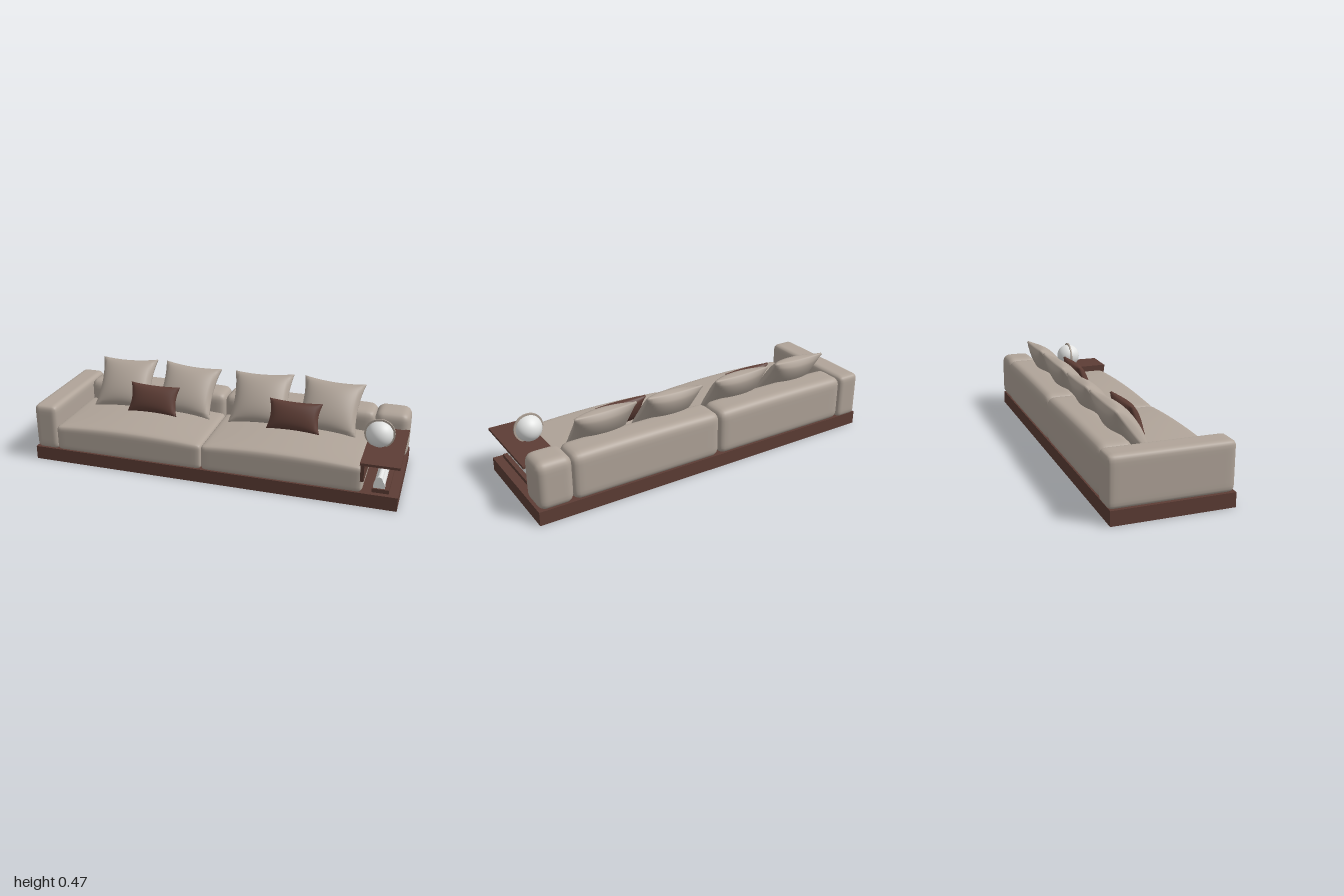
import * as THREE from 'three';
import { mergeVertices } from 'three/addons/utils/BufferGeometryUtils.js';

const mat = (name, color) => {
  const m = new THREE.MeshStandardMaterial({ color });
  m.name = name;
  return m;
};

// Box whose vertices are moved by a rule, then welded for smooth normals
function shapedBox(nx, ny, nz, rule) {
  let g = new THREE.BoxGeometry(2, 2, 2, nx, ny, nz);
  g.deleteAttribute('uv');
  g.deleteAttribute('normal');
  g = mergeVertices(g, 1e-4);
  const p = g.attributes.position;
  const v = new THREE.Vector3();
  for (let i = 0; i < p.count; i++) {
    v.fromBufferAttribute(p, i);
    rule(v);
    p.setXYZ(i, v.x, v.y, v.z);
  }
  g.computeVertexNormals();
  return g;
}

// Upholstered block with rounded edges and a domed top
function softBox(w, h, d, r, crown = 0) {
  const half = new THREE.Vector3(w / 2, h / 2, d / 2);
  const lim = half.clone().subScalar(r);
  const low = lim.clone().negate();
  const inner = new THREE.Vector3();
  const ease = t => Math.sin(t * Math.PI / 2);
  return shapedBox(24, 16, 20, v => {
    v.set(ease(v.x), ease(v.y), ease(v.z)).multiply(half);
    inner.copy(v).clamp(low, lim);
    v.sub(inner).setLength(r).add(inner);
    const u = v.x / half.x, s = v.z / half.z;
    const up = Math.max(0, v.y / half.y);
    v.y += crown * up * (1 - u * u) * (1 - 0.4 * s * s);
  });
}

// Throw pillow: pulled-out corners, puffed middle
function pillowGeometry(w, h, t) {
  return shapedBox(22, 22, 2, v => {
    const { x: u, y: s, z } = v;
    const puff = Math.pow(Math.max(0, (1 - u * u) * (1 - s * s)), 0.55);
    v.x = w / 2 * u * (1 - 0.11 * (1 - s * s) * u * u);
    v.y = h / 2 * s * (1 - 0.09 * (1 - u * u) * s * s);
    v.z = z * (0.006 + (t / 2 - 0.006) * puff);
  });
}

export function createModel() {
  const model = new THREE.Group();
  model.name = 'sofa';
  const fabric = mat('beigeFabric', 0xb0a499);
  const brown = mat('darkBrown', 0x5d3d35);
  const white = mat('white', 0xe2e3e2);

  const add = (name, geo, material, x, y, z) => {
    const m = new THREE.Mesh(geo, material);
    m.name = name;
    m.position.set(x, y, z);
    model.add(m);
    return m;
  };
  // Place a part by its extents
  const span = (name, material, [x0, x1], [y0, y1], [z0, z1], r = 0, crown = 0) => {
    const s = [x1 - x0, y1 - y0, z1 - z0];
    const g = r ? softBox(...s, r, crown) : new THREE.BoxGeometry(...s);
    return add(name, g, material, (x0 + x1) / 2, (y0 + y1) / 2, (z0 + z1) / 2);
  };

  // Plinth
  span('base', brown, [-1, 1], [0, 0.075], [-0.31, 0.307]);

  // Arm, backrests and the short back end behind the table
  span('arm', fabric, [-0.995, -0.86], [0.07, 0.326], [-0.32, 0.306], 0.03);
  span('backrestRight', fabric, [-0.868, -0.032], [0.07, 0.326], [-0.32, -0.14], 0.045, 0.006);
  span('backrestLeft', fabric, [-0.034, 0.815], [0.07, 0.326], [-0.32, -0.14], 0.045, 0.006);
  span('backEnd', fabric, [0.808, 0.997], [0.07, 0.328], [-0.319, -0.141], 0.045, 0.003);

  // Seat cushions
  span('seatRight', fabric, [-0.87, -0.03], [0.07, 0.212], [-0.16, 0.305], 0.025, 0.028);
  span('seatLeft', fabric, [-0.032, 0.82], [0.07, 0.212], [-0.16, 0.305], 0.025, 0.028);

  // Large pillows leaning on the back
  const big = pillowGeometry(0.335, 0.3, 0.13);
  [[-0.625, 0.04], [-0.247, -0.05], [0.185, 0.04], [0.57, -0.05]].forEach(([x, roll]) => {
    add('largePillow', big, fabric, x, 0.342, -0.122).rotation.set(-0.66, 0, roll);
  });

  // Small lumbar pillows
  const small = pillowGeometry(0.29, 0.165, 0.085);
  [-0.408, 0.4].forEach(x => {
    add('smallPillow', small, brown, x, 0.312, -0.001).rotation.set(-0.42, 0, -0.01);
  });

  // Side table: top and the apron against the seat
  span('tableTop', brown, [0.803, 1], [0.234, 0.247], [-0.15, 0.32]);
  const apron = new THREE.Shape();
  apron.moveTo(-0.32, 0.236);
  apron.quadraticCurveTo(-0.317, 0.18, -0.309, 0.14);
  apron.lineTo(0.145, 0.14);
  apron.lineTo(0.145, 0.236);
  const apronGeo = new THREE.ExtrudeGeometry(apron, { depth: 0.018, bevelEnabled: false });
  add('tableApron', apronGeo, brown, 0.808, 0, 0).rotation.y = Math.PI / 2;

  // Globe lamp with a ring
  add('lampGlobe', new THREE.SphereGeometry(0.07, 40, 28), white, 0.866, 0.314, 0.091);
  const ring = new THREE.CylinderGeometry(0.079, 0.079, 0.008, 48).rotateX(Math.PI / 2);
  add('lampRing', ring, fabric, 0.866, 0.315, 0.091);

  // Tray with a long arched ornament
  span('tray', brown, [0.866, 0.952], [0.074, 0.096], [-0.045, 0.279]);
  const arch = new THREE.Shape();
  arch.moveTo(-0.027, 0);
  arch.lineTo(0.027, 0);
  arch.bezierCurveTo(0.03, 0.03, 0.017, 0.03, 0.014, 0.046);
  arch.bezierCurveTo(0.01, 0.061, -0.01, 0.061, -0.014, 0.046);
  arch.bezierCurveTo(-0.017, 0.03, -0.03, 0.03, -0.027, 0);
  const archBar = (name, length, z, s) => {
    const g = new THREE.ExtrudeGeometry(arch, { depth: length, bevelEnabled: false, curveSegments: 10 });
    add(name, g, white, 0.9, 0.095, z).scale.set(s, s, 1);
  };
  archBar('ornamentBody', 0.29, -0.03, 1);
  archBar('ornamentEnd', 0.022, -0.038, 1.08);
  archBar('ornamentEnd', 0.022, 0.248, 1.08);

  return model;
}
